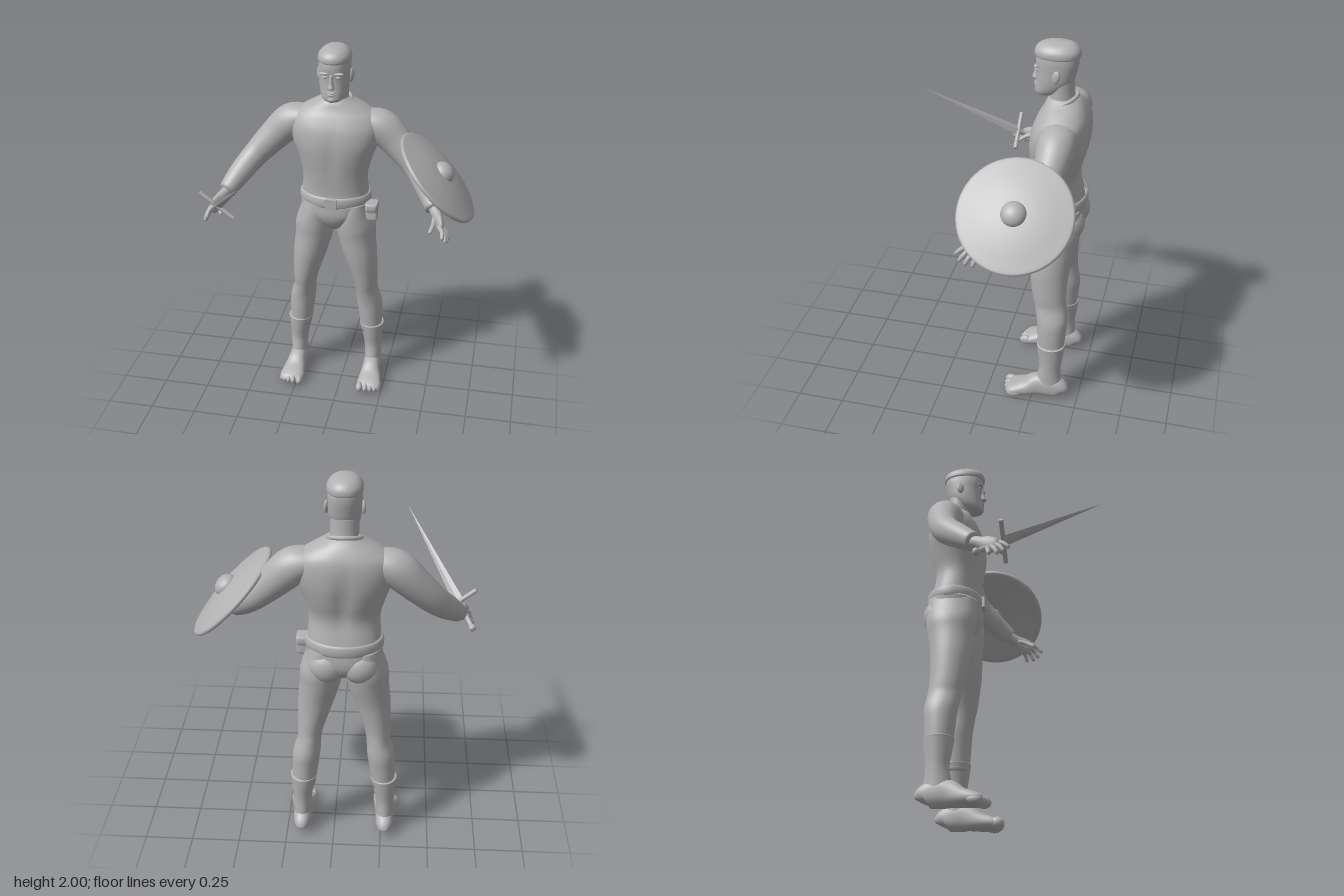
import * as THREE from 'three';

const stone = new THREE.MeshStandardMaterial({ color: 0xb2b2b2 });
stone.name = 'stone grey';
const V = (x, y, z) => new THREE.Vector3(x, y, z);

function add(parent, name, geo, pos = [0, 0, 0], scale = [1, 1, 1]) {
  const m = new THREE.Mesh(geo, stone);
  m.name = name;
  m.position.set(...pos);
  m.scale.set(...scale);
  parent.add(m);
  return m;
}

// Smooth skin through sections [x, y, z, ru, rv]. Flat rings lie level and are
// listed bottom to top; other rings stand square to the path.
function loft(sections, { flat = false, n = 2, seg = 32, steps = 5, warp } = {}) {
  const rows = [], last = sections.length - 1;
  for (let i = 0; i <= last * steps; i++) {
    const k = Math.min(Math.floor(i / steps), last - 1), t = i / steps - k;
    const [a, b, c, d] = [k - 1, k, k + 1, k + 2].map(q => sections[Math.max(0, Math.min(last, q))]);
    rows.push(b.map((_, q) => 0.5 * (2 * b[q] + (c[q] - a[q]) * t
      + (2 * a[q] - 5 * b[q] + 4 * c[q] - d[q]) * t * t
      + (3 * b[q] - a[q] - 3 * c[q] + d[q]) * t * t * t)));
  }
  const pts = [], idx = [], R = rows.length;
  const bend = x => Math.sign(x) * Math.abs(x) ** (2 / n);
  rows.forEach((r, i) => {
    const p = rows[Math.max(0, i - 1)], q = rows[Math.min(R - 1, i + 1)];
    const t = flat ? V(0, 1, 0) : V(q[0] - p[0], q[1] - p[1], q[2] - p[2]).normalize();
    const u = flat ? V(1, 0, 0) : V(0, 1, 0).cross(t).normalize();
    const v = t.clone().cross(u);
    for (let j = 0; j < seg; j++) {
      const a = j / seg * Math.PI * 2;
      const w = V(r[0], r[1], r[2]).addScaledVector(u, bend(Math.cos(a)) * r[3])
        .addScaledVector(v, bend(Math.sin(a)) * r[4]);
      if (warp) warp(w);
      pts.push(w.x, w.y, w.z);
      const j2 = (j + 1) % seg, s = i * seg;
      if (i < R - 1) idx.push(s + j, s + j2, s + seg + j2, s + j, s + seg + j2, s + seg + j);
    }
  });
  const c0 = R * seg, e = (R - 1) * seg;
  for (const r of [rows[0], rows[R - 1]]) pts.push(r[0], r[1], r[2]);
  for (let j = 0; j < seg; j++) {
    const j2 = (j + 1) % seg;
    idx.push(c0, j2, j, c0 + 1, e + j, e + j2);
  }
  const g = new THREE.BufferGeometry();
  g.setAttribute('position', new THREE.Float32BufferAttribute(pts, 3));
  g.setIndex(idx);
  g.computeVertexNormals();
  return g;
}

// Level sections given as [y, front z, back z, half width, x]
const level = rows => rows.map(([y, f, b, w, x = 0]) => [x, y, (f + b) / 2, w, (f - b) / 2]);
const ball = () => new THREE.SphereGeometry(1, 20, 14);

function buildTorso(body) {
  add(body, 'tunic', loft(level([
    [1.13, -0.19, -0.455, 0.186], [1.2, -0.195, -0.44, 0.18], [1.3, -0.185, -0.425, 0.175],
    [1.4, -0.172, -0.45, 0.2], [1.48, -0.168, -0.465, 0.228], [1.56, -0.18, -0.468, 0.243],
    [1.62, -0.205, -0.46, 0.225], [1.665, -0.23, -0.44, 0.165], [1.7, -0.245, -0.415, 0.1],
    [1.72, -0.26, -0.39, 0.07]]), {
    flat: true, n: 2.25, seg: 48,
    // spine groove and chest hollow
    warp: p => {
      const band = Math.exp(-(((p.y - 1.43) / 0.13) ** 2)) * Math.exp(-((p.x / 0.035) ** 2));
      p.z += p.z < -0.32 ? 0.02 * band : -0.01 * band;
    },
  }));
  const collar = add(body, 'collar', new THREE.TorusGeometry(0.078, 0.011, 10, 36), [0, 1.7, -0.32], [1.02, 1, 1]);
  collar.rotation.x = Math.PI / 2 + 0.38;

  add(body, 'briefs', loft(level([
    [0.965, -0.27, -0.36, 0.025], [0.99, -0.225, -0.415, 0.065], [1.03, -0.195, -0.45, 0.12],
    [1.08, -0.18, -0.462, 0.175], [1.14, -0.182, -0.458, 0.19]]), { flat: true, n: 2.3 }));
  for (const s of [-1, 1]) add(body, 'buttock', ball(), [s * 0.082, 1.05, -0.395], [0.092, 0.092, 0.077]);

  const ring = [[0.95, -0.03], [0.985, -0.03], [1.02, -0.02], [1.03, 0], [1.02, 0.02], [0.985, 0.03], [0.95, 0.03]];
  add(body, 'belt', new THREE.LatheGeometry(ring.map(p => new THREE.Vector2(...p)), 48),
    [0, 1.16, -0.322], [0.19, 1, 0.144]);
  add(body, 'buckle', new THREE.BoxGeometry(0.06, 0.06, 0.02), [0, 1.16, -0.172]);
  add(body, 'pouch', loft(level([
    [1.045, -0.25, -0.285, 0.025, 0.207], [1.055, -0.243, -0.292, 0.033, 0.207],
    [1.1, -0.243, -0.292, 0.033, 0.207], [1.112, -0.225, -0.31, 0.034, 0.207],
    [1.145, -0.225, -0.31, 0.034, 0.207], [1.15, -0.24, -0.295, 0.025, 0.207]]), { flat: true, n: 5 }));
}

function buildHead(body) {
  const head = new THREE.Group();
  head.name = 'head';
  body.add(head);
  add(head, 'neck', loft(level([
    [1.65, -0.25, -0.4, 0.075], [1.72, -0.255, -0.382, 0.068], [1.82, -0.25, -0.375, 0.068]]), { flat: true }));
  add(head, 'skull', loft(level([
    [1.725, -0.2, -0.27, 0.035], [1.737, -0.186, -0.295, 0.053], [1.76, -0.185, -0.335, 0.066],
    [1.8, -0.189, -0.37, 0.076], [1.85, -0.19, -0.385, 0.08], [1.91, -0.185, -0.395, 0.081],
    [1.96, -0.2, -0.385, 0.07], [1.985, -0.24, -0.35, 0.035]]), { flat: true, n: 2.25 }));
  add(head, 'hair', loft(level([
    [1.925, -0.19, -0.394, 0.078], [1.932, -0.178, -0.402, 0.085], [1.957, -0.18, -0.4, 0.083],
    [1.98, -0.198, -0.383, 0.066], [1.994, -0.23, -0.355, 0.042], [2, -0.27, -0.315, 0.012]]),
  { flat: true, n: 2.2 }));
  add(head, 'nose', loft(level([
    [1.797, -0.18, -0.2, 0.012], [1.805, -0.167, -0.21, 0.018], [1.83, -0.175, -0.21, 0.011],
    [1.875, -0.184, -0.21, 0.009]]), { flat: true, seg: 16 }));
  add(head, 'upper lip', ball(), [0, 1.78, -0.19], [0.026, 0.006, 0.011]);
  add(head, 'lower lip', ball(), [0, 1.769, -0.19], [0.022, 0.007, 0.011]);
  add(head, 'chin', ball(), [0, 1.742, -0.2], [0.026, 0.018, 0.02]);
  for (const s of [-1, 1]) {
    add(head, 'eye', ball(), [s * 0.033, 1.858, -0.199], [0.014, 0.008, 0.009]);
    add(head, 'brow', ball(), [s * 0.035, 1.878, -0.196], [0.028, 0.008, 0.014]);
    const ear = add(head, 'ear', ball(), [s * 0.085, 1.845, -0.298], [0.011, 0.034, 0.021]);
    ear.rotation.set(-0.15, s * -0.35, 0);
  }
}

function buildArm(body, s) {
  const arm = new THREE.Group();
  arm.name = s > 0 ? 'left arm' : 'right arm';
  body.add(arm);
  const flip = rows => rows.map(([x, ...rest]) => [s * x, ...rest]);
  add(arm, 'sleeve', loft(flip([
    [0.15, 1.595, -0.335, 0.085, 0.06], [0.24, 1.56, -0.338, 0.093, 0.092], [0.33, 1.477, -0.328, 0.08, 0.084],
    [0.43, 1.372, -0.29, 0.066, 0.07], [0.5, 1.29, -0.21, 0.06, 0.062], [0.556, 1.215, -0.122, 0.046, 0.047]])));
  add(arm, 'palm', loft(flip([
    [0.545, 1.225, -0.14, 0.03, 0.03], [0.57, 1.2, -0.09, 0.026, 0.032], [0.588, 1.178, -0.05, 0.022, 0.042],
    [0.6, 1.162, -0.015, 0.016, 0.04], [0.606, 1.155, 0, 0.008, 0.025]]), { seg: 20 }));
  const fingers = [
    [0.6, 1.15, -0.05, 0.648, 1.093, -0.03], [0.602, 1.155, -0.03, 0.642, 1.095, 0.01],
    [0.6, 1.165, -0.01, 0.635, 1.108, 0.04], [0.592, 1.18, 0, 0.62, 1.135, 0.062],
    [0.563, 1.188, -0.07, 0.55, 1.145, 0.025]];
  for (const [x, y, z, X, Y, Z] of fingers) {
    const at = (t, r, lift = 0) => [x + (X - x) * t + lift, y + (Y - y) * t + lift, z + (Z - z) * t, r, r];
    add(arm, 'finger', loft(flip([at(0, 0.013), at(0.5, 0.012, 0.006), at(0.9, 0.01), at(1, 0.004)]), { seg: 10, steps: 3 }));
  }
}

function buildLeg(body, s) {
  const leg = new THREE.Group();
  leg.name = s > 0 ? 'left leg' : 'right leg';
  body.add(leg);
  const put = rows => level(rows.map(([y, f, b, w, x]) => [y, f, b, w, s * x]));
  add(leg, 'trouser leg', loft(put([
    [0.3, -0.275, -0.41, 0.06, 0.208], [0.42, -0.265, -0.418, 0.068, 0.2], [0.5, -0.258, -0.424, 0.071, 0.192],
    [0.58, -0.243, -0.414, 0.062, 0.178], [0.65, -0.227, -0.408, 0.069, 0.17], [0.8, -0.205, -0.415, 0.092, 0.143],
    [0.92, -0.198, -0.437, 0.104, 0.12], [1.0, -0.19, -0.452, 0.108, 0.112], [1.08, -0.19, -0.452, 0.092, 0.102],
    [1.14, -0.2, -0.445, 0.08, 0.1]]), { flat: true }));
  add(leg, 'boot shaft', loft(put([
    [0.06, -0.275, -0.41, 0.047, 0.22], [0.12, -0.272, -0.406, 0.046, 0.22], [0.2, -0.285, -0.402, 0.049, 0.219],
    [0.28, -0.275, -0.412, 0.059, 0.214], [0.335, -0.268, -0.418, 0.068, 0.21], [0.347, -0.268, -0.418, 0.069, 0.21],
    [0.35, -0.28, -0.406, 0.058, 0.21]]), { flat: true }));
  // foot sections: z, half height, half width, x
  add(leg, 'foot', loft([
    [-0.415, 0.035, 0.025, 0.22], [-0.4, 0.055, 0.042, 0.22], [-0.35, 0.068, 0.048, 0.22], [-0.28, 0.066, 0.05, 0.221],
    [-0.22, 0.046, 0.06, 0.224], [-0.16, 0.034, 0.069, 0.227], [-0.13, 0.026, 0.066, 0.227], [-0.12, 0.015, 0.05, 0.227],
  ].map(([z, h, w, x]) => [s * x, h, z, w, h]), { n: 2.4 }));
  for (let i = 0; i < 5; i++) {
    const r = [0.021, 0.016, 0.015, 0.014, 0.013][i], x = [0.178, 0.212, 0.24, 0.265, 0.285][i];
    add(leg, 'toe', ball(), [s * x, 0.03 - i * 0.002, -0.123 - i * i * 0.0018], [r, 0.028 - i * 0.002, 0.036]);
  }
}

function buildSword() {
  const sword = new THREE.Group();
  sword.name = 'sword';
  const dir = V(0.27, 0.335, 0.465).normalize();
  const across = V(0.8, -0.6, 0).addScaledVector(dir, -V(0.8, -0.6, 0).dot(dir)).normalize();
  sword.setRotationFromMatrix(new THREE.Matrix4().makeBasis(across, dir, across.clone().cross(dir)));
  sword.position.set(-0.62, 1.198, 0.025);
  const blade = new THREE.ConeGeometry(1, 0.634, 4).scale(0.028, 1, 0.008).toNonIndexed();
  blade.computeVertexNormals();
  add(sword, 'blade', blade, [0, 0.317, 0]);
  add(sword, 'crossguard', new THREE.CylinderGeometry(0.012, 0.012, 0.222, 14), [0, 0, 0]).rotation.z = Math.PI / 2;
  add(sword, 'grip', new THREE.CylinderGeometry(0.012, 0.013, 0.16, 14), [0, -0.08, 0]);
  add(sword, 'pommel', ball(), [0, -0.162, 0], [0.02, 0.018, 0.02]);
  return sword;
}

function buildShield() {
  const shield = new THREE.Group();
  shield.name = 'shield';
  shield.position.set(0.508, 1.352, -0.215);
  shield.quaternion.setFromUnitVectors(V(0, 1, 0), V(0.72, 0.69, 0).normalize());
  const profile = [[0, 0.012], [0.13, 0.006], [0.25, -0.012], [0.27, -0.014], [0.28, -0.008], [0.281, 0.004],
    [0.272, 0.01], [0.258, 0.01], [0.2, 0.026], [0.12, 0.04], [0.06, 0.046], [0, 0.048]];
  add(shield, 'shield disc', new THREE.LatheGeometry(profile.map(p => new THREE.Vector2(...p)), 56));
  add(shield, 'shield boss', ball(), [0, 0.04, 0], [0.062, 0.05, 0.062]);
  return shield;
}

export function createModel() {
  const model = new THREE.Group();
  model.name = 'warrior';
  const body = new THREE.Group();
  body.name = 'body';
  body.position.x = -0.05;
  model.add(body);
  buildTorso(body);
  buildHead(body);
  for (const s of [-1, 1]) {
    buildArm(body, s);
    buildLeg(body, s);
  }
  model.add(buildSword(), buildShield());
  return model;
}
